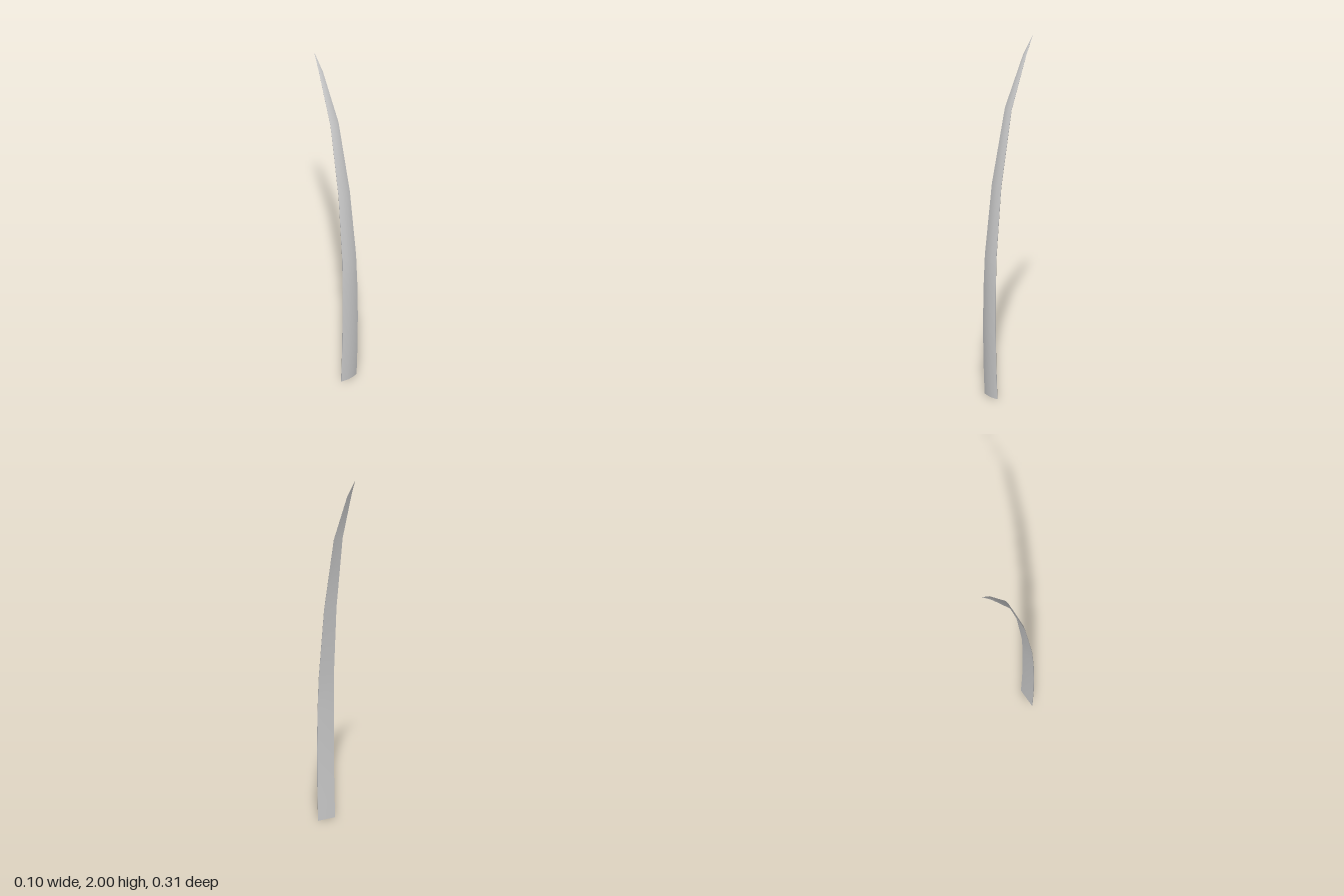
import * as THREE from 'three';

// Stations along the blade: height, front-face z, half width
const STATIONS = [
  [0, 0.142, 0.052], [0.2, 0.15, 0.052], [0.4, 0.153, 0.0515], [0.6, 0.151, 0.05],
  [0.8, 0.144, 0.0465], [1.2, 0.102, 0.038], [1.62, 0.02, 0.027], [1.9, -0.095, 0.0125],
  [2, -0.153, 0.0003],
];

// Cross-section for unit half width: x, setback from the front face
const SECTION = [[-1, 0.135], [-0.32, 0], [0.32, 0], [1, 0.135], [1, 0.195], [-1, 0.195]];

function ringPoints([y, z, w]) {
  return SECTION.map(([x, back]) => [x * w, y, z - back * w]);
}

function makeGeometry(points, index) {
  const geometry = new THREE.BufferGeometry();
  geometry.setAttribute('position', new THREE.Float32BufferAttribute(points.flat(), 3));
  geometry.setIndex(index);
  geometry.computeVertexNormals();
  return geometry;
}

export function createModel() {
  const group = new THREE.Group();
  group.name = 'curvedBlade';
  const material = new THREE.MeshStandardMaterial({ color: 0xcccccc });
  const n = SECTION.length;

  // Tapering, backward-curving blade, lofted through the stations
  const index = [];
  for (let r = 0; r < STATIONS.length - 1; r++) {
    for (let i = 0; i < n; i++) {
      const a = r * n + i, b = r * n + (i + 1) % n;
      index.push(a, b, b + n, a, b + n, a + n);
    }
  }
  const blade = new THREE.Mesh(makeGeometry(STATIONS.flatMap(ringPoints), index), material);
  blade.name = 'blade';

  // Flat end closing the base
  const capIndex = [];
  for (let i = 1; i < n - 1; i++) capIndex.push(0, i + 1, i);
  const cap = new THREE.Mesh(makeGeometry(ringPoints(STATIONS[0]), capIndex), material);
  cap.name = 'baseEnd';

  group.add(blade, cap);
  return group;
}
